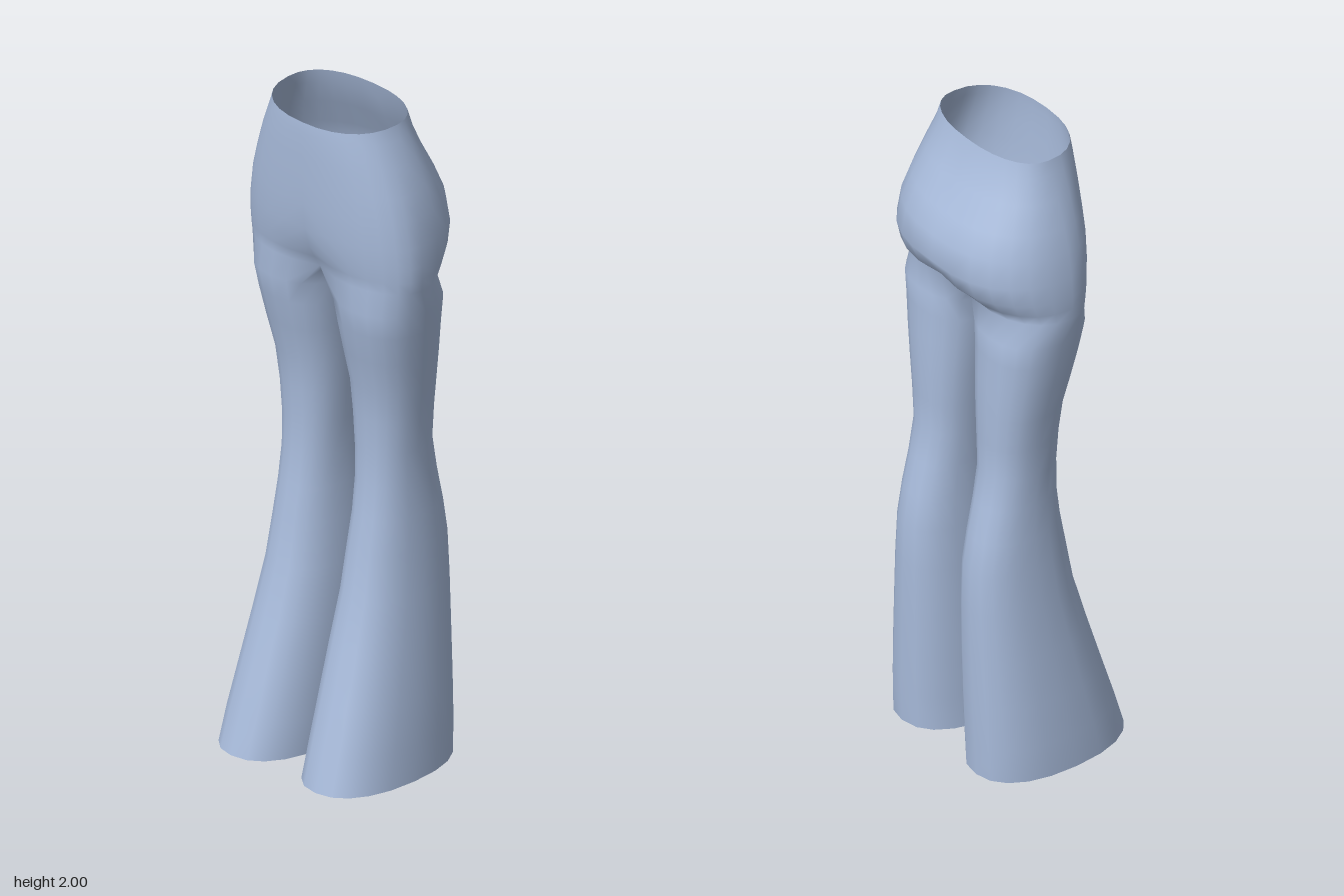
import * as THREE from 'three';
import { mergeVertices } from 'three/addons/utils/BufferGeometryUtils.js';

const OUTER = 14, INNER = 6, RING = OUTER + INNER;

// Hip sections (half rings): y, outer x, front z, back z, pinch at the centre line
const HIPS = [
  [1.99, 0.21, 0.158, -0.12, 0],
  [1.95, 0.222, 0.16, -0.135, 0],
  [1.88, 0.25, 0.16, -0.165, 0],
  [1.8, 0.276, 0.157, -0.21, 0],
  [1.73, 0.295, 0.155, -0.243, 0.01],
  [1.65, 0.307, 0.15, -0.256, 0.03],
  [1.59, 0.311, 0.143, -0.237, 0.1],
  [1.55, 0.31, 0.137, -0.205, 0.22],
  [1.515, 0.308, 0.131, -0.175, 0.35],
];

// Leg sections (full rings): y, inner x, outer x, front z, back z
const LEGS = [
  [1.44, 0.006, 0.299, 0.118, -0.17],
  [1.37, 0.014, 0.288, 0.105, -0.17],
  [1.28, 0.023, 0.273, 0.085, -0.173],
  [1.18, 0.032, 0.256, 0.06, -0.174],
  [1.08, 0.039, 0.243, 0.05, -0.173],
  [0.98, 0.045, 0.235, 0.045, -0.172],
  [0.88, 0.048, 0.234, 0.048, -0.192],
  [0.78, 0.045, 0.24, 0.06, -0.215],
  [0.68, 0.038, 0.247, 0.078, -0.232],
  [0.55, 0.03, 0.258, 0.1, -0.236],
  [0.4, 0.022, 0.273, 0.142, -0.236],
  [0.25, 0.018, 0.288, 0.186, -0.235],
  [0.12, 0.016, 0.3, 0.225, -0.233],
  [0.015, 0.015, 0.305, 0.255, -0.23],
];

const full = (v) => Math.sign(v) * Math.abs(v) ** 0.87;

function hipRing([y, xo, zf, zb, pinch], index) {
  const pts = [];
  for (let i = 0; i <= OUTER; i++) {
    const a = (i / OUTER) * Math.PI;
    const x = i === 0 || i === OUTER ? 0 : xo * full(Math.sin(a));
    const z = (Math.cos(a) > 0 ? zf : -zb) * full(Math.cos(a));
    const tilt = index === 0 ? -0.01 * Math.cos(a) : 0; // waist dips at the front
    pts.push([x, y + tilt, z * (1 - pinch * (1 - x / xo) ** 3)]);
  }
  // Crotch seam running from back to front on the centre line
  const front = pts[0][2], back = pts[OUTER][2];
  for (let j = 1; j < INNER; j++) {
    const t = j / INNER;
    pts.push([0, y - 0.018 * Math.sin(t * Math.PI), back + (front - back) * t]);
  }
  return pts;
}

function legRing([y, xi, xo, zf, zb]) {
  const pts = [], wrap = 0.61;
  for (let i = 0; i < RING; i++) {
    const a = i <= OUTER
      ? -wrap + (i / OUTER) * (Math.PI + 2 * wrap)
      : Math.PI + wrap + ((i - OUTER) / INNER) * (Math.PI - 2 * wrap);
    pts.push([
      (xi + xo) / 2 + ((xo - xi) / 2) * full(Math.sin(a)),
      y,
      (zf + zb) / 2 + ((zf - zb) / 2) * full(Math.cos(a)),
    ]);
  }
  return pts;
}

// Turns triangles of one side into a smooth geometry holding both sides
function mirrored(triangles) {
  const pos = [];
  for (const side of [1, -1]) {
    for (const [a, b, c] of triangles) {
      for (const [x, y, z] of side > 0 ? [a, b, c] : [a, c, b]) {
        pos.push(side * x - 0.01 + 0.0075 * y, y, z);
      }
    }
  }
  const geo = new THREE.BufferGeometry();
  geo.setAttribute('position', new THREE.Float32BufferAttribute(pos, 3));
  const merged = mergeVertices(geo, 1e-5);
  merged.computeVertexNormals();
  return merged;
}

export function createModel() {
  const group = new THREE.Group();
  group.name = 'flaredTrousers';
  const fabric = new THREE.MeshStandardMaterial({ color: 0xa8bbdb, side: THREE.DoubleSide });
  fabric.name = 'pale blue fabric';

  // Skin the sections from the waist down to the hem
  const rings = [...HIPS.map(hipRing), ...LEGS.map(legRing)];
  const cloth = [];
  for (let r = 0; r < rings.length - 1; r++) {
    const top = rings[r], low = rings[r + 1];
    const count = r < HIPS.length - 1 ? OUTER : RING;
    for (let i = 0; i < count; i++) {
      const k = (i + 1) % RING;
      cloth.push([top[i], low[i], low[k]], [top[i], low[k], top[k]]);
    }
  }
  const trousers = new THREE.Mesh(mirrored(cloth), fabric);
  trousers.name = 'hipsAndLegs';
  group.add(trousers);

  // Closed hems
  const hem = rings[rings.length - 1];
  const centre = [0.16, 0, 0.012];
  const fan = hem.map((p, i) => [centre, hem[(i + 1) % RING], p]);
  const hems = new THREE.Mesh(mirrored(fan), fabric);
  hems.name = 'hemCaps';
  group.add(hems);

  return group;
}
